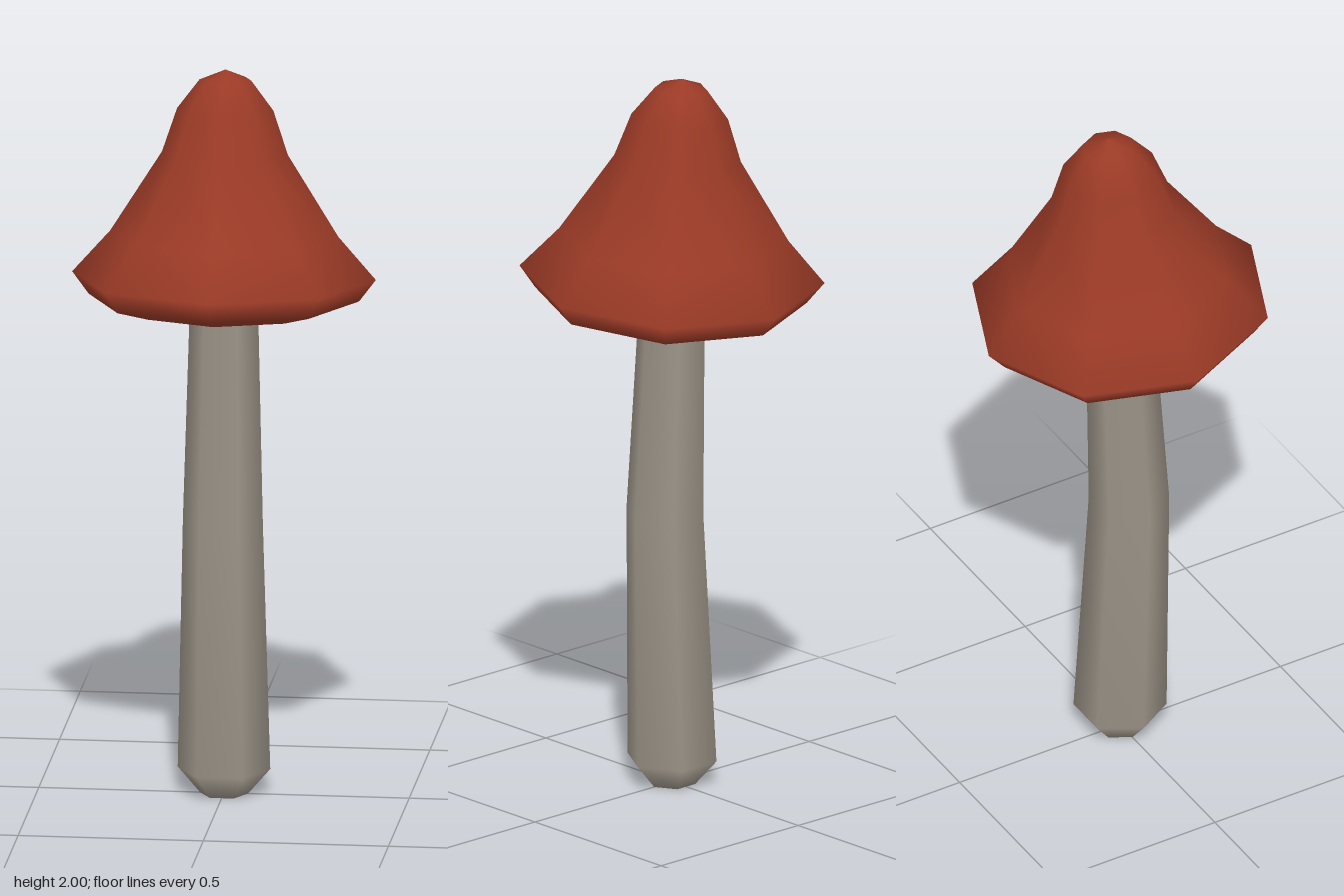
import * as THREE from 'three';

const capRed = new THREE.MeshStandardMaterial({ color: 0x9a3a26 });
capRed.name = 'capRed';
const stemGrey = new THREE.MeshStandardMaterial({ color: 0x9c9488 });
stemGrey.name = 'stemGrey';

// Turned profile with few sides; a corner lies on the x axis
function turned(name, profile, sides, material) {
  const points = profile.map(([r, y]) => new THREE.Vector2(r, y));
  const mesh = new THREE.Mesh(new THREE.LatheGeometry(points, sides, Math.PI / 2), material);
  mesh.name = name;
  return mesh;
}

export function createModel() {
  const model = new THREE.Group();
  model.name = 'mushroom';

  // Six-sided stem, bowed forward at mid height
  const stem = turned('stem', [
    [0, 0], [0.065, 0], [0.125, 0.07], [0.108, 0.76], [0.092, 1.36], [0.09, 1.47],
  ], 6, stemGrey);
  const pos = stem.geometry.attributes.position;
  for (let i = 0; i < pos.count; i++) {
    const y = pos.getY(i);
    const bow = y < 0.76 ? Math.max(0, (y - 0.07) / 0.69) : Math.max(0, (1.36 - y) / 0.6);
    pos.setZ(i, pos.getZ(i) + 0.028 * bow);
  }
  model.add(stem);

  // Eight-sided bell cap: hollow underside, rolled lip, flared side, rounded tip
  const cap = turned('cap', [
    [0, 0.04], [0.12, 0.03], [0.22, -0.03], [0.26, -0.09], [0.365, -0.06], [0.41, 0],
    [0.308, 0.115], [0.17, 0.335], [0.13, 0.455], [0.07, 0.535], [0, 0.564],
  ], 8, capRed);
  cap.position.y = 1.437;
  cap.rotation.x = -0.067; // leans back, front rim raised
  model.add(cap);

  return model;
}
